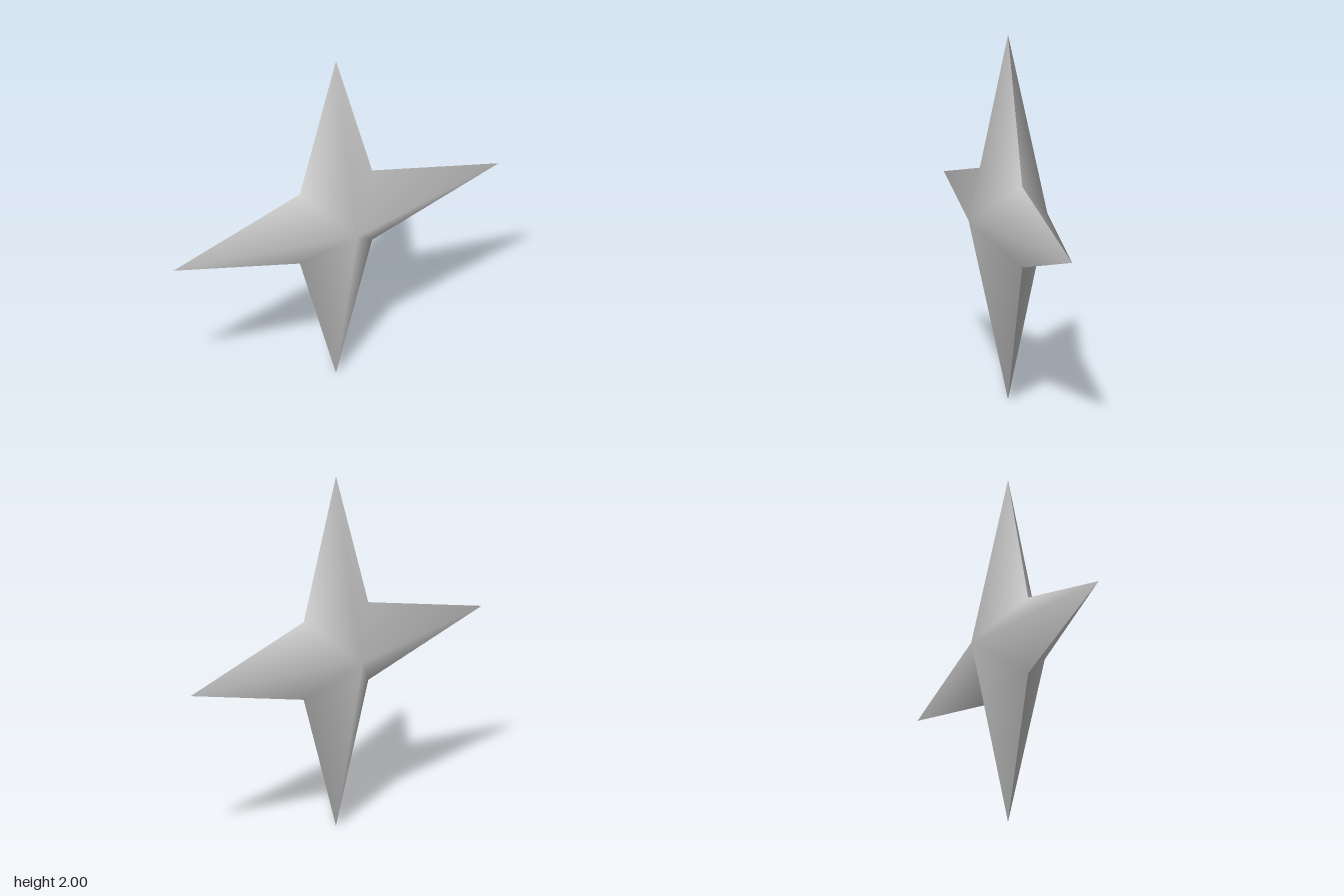
import * as THREE from 'three';

const TIP = 1, NOTCH = 0.222, DEPTH = 0.222;

// One half of the star: a shallow pyramid over the eight-cornered outline, smooth within the half
function starHalf(side) {
  const points = [0, 0, side * DEPTH];
  const faces = [];
  for (let i = 0; i < 8; i++) {
    const angle = i * Math.PI / 4;
    const radius = i % 2 ? NOTCH * Math.SQRT2 : TIP;
    points.push(Math.cos(angle) * radius, Math.sin(angle) * radius, 0);
    const a = i + 1, b = (i + 1) % 8 + 1;
    faces.push(0, ...(side > 0 ? [a, b] : [b, a]));
  }
  const geometry = new THREE.BufferGeometry();
  geometry.setAttribute('position', new THREE.Float32BufferAttribute(points, 3));
  geometry.setIndex(faces);
  geometry.computeVertexNormals();
  return geometry;
}

export function createModel() {
  const grey = new THREE.MeshStandardMaterial({ color: 0xcccccc });
  grey.name = 'light grey';

  const star = new THREE.Group();
  star.name = 'fourPointedStar';
  for (const [name, side] of [['frontHalf', 1], ['backHalf', -1]]) {
    const half = new THREE.Mesh(starHalf(side), grey);
    half.name = name;
    half.position.y = TIP;
    star.add(half);
  }
  return star;
}
